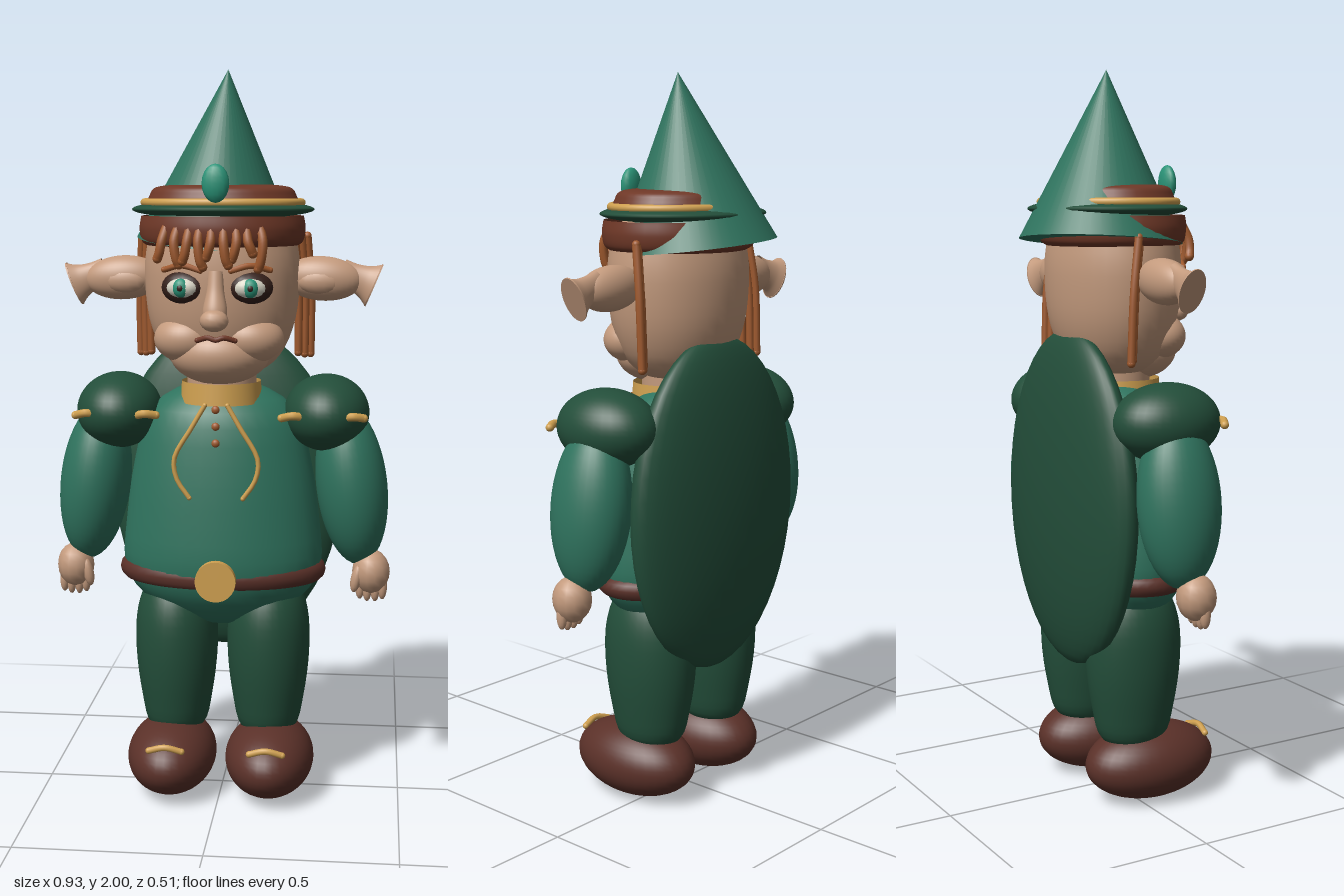
import * as THREE from 'three';

const mat = (name, color, double) => {
  const m = new THREE.MeshStandardMaterial({ color });
  m.name = name;
  if (double) m.side = THREE.DoubleSide;
  return m;
};
const green = mat('tunicGreen', 0x2f735e);
const dark = mat('forestGreen', 0x234e3a);
const skin = mat('skin', 0xc39a7d, true);
const leather = mat('leather', 0x5b3129);
const band = mat('hatBrown', 0x6f3827, true);
const hair = mat('hair', 0xa05a2e);
const gold = mat('gold', 0xcfa050, true);
const teal = mat('teal', 0x2a9478);
const white = mat('eyeWhite', 0xd9d6c6);
const black = mat('darkBrown', 0x35201a);

const V = (a) => new THREE.Vector3(...a);

export function createModel() {
  const root = new THREE.Group();
  root.name = 'forestElf';

  const add = (name, geo, material, pos = [0, 0, 0], scale = [1, 1, 1], rot = [0, 0, 0]) => {
    const m = new THREE.Mesh(geo, material);
    m.name = name;
    m.position.set(...pos);
    m.scale.set(...scale);
    m.rotation.set(...rot);
    root.add(m);
    return m;
  };
  // Fine spheres for large parts, coarse ones for small parts
  const fineBall = new THREE.SphereGeometry(1, 36, 24);
  const smallBall = new THREE.SphereGeometry(1, 14, 10);
  const blob = (name, material, pos, radii, rot) =>
    add(name, Math.max(...radii) > 0.07 ? fineBall : smallBall, material, pos, radii, rot);
  // Smooth lathe through a few [radius, y] points, bottom to top
  const lathe = (name, material, pts, pos, scale, rot) => {
    const curve = new THREE.SplineCurve(pts.map((p) => new THREE.Vector2(...p)));
    const prof = curve.getPoints(24).map((p) => new THREE.Vector2(Math.max(p.x, 0), p.y));
    return add(name, new THREE.LatheGeometry(prof, 36), material, pos, scale, rot);
  };
  // Round-ended tube through points
  const tube = (name, material, pts, r) => {
    const v = pts.map(V);
    add(name, new THREE.TubeGeometry(new THREE.CatmullRomCurve3(v), 14, r, 8), material);
    for (const p of [v[0], v[v.length - 1]]) blob(name + 'End', material, p.toArray(), [r, r, r]);
  };
  // Flat-lying ring
  const ring = (name, material, r, t, pos, zs) =>
    add(name, new THREE.TorusGeometry(r, t, 12, 48), material, pos, [1, zs, 1], [Math.PI / 2, 0, 0]);
  const both = (fn) => [1, -1].forEach(fn);

  // Body, collar and cape
  lathe('torso', green, [[0, 0.475], [0.12, 0.5], [0.225, 0.565], [0.275, 0.65], [0.27, 0.78],
    [0.245, 0.95], [0.2, 1.09], [0.09, 1.16], [0, 1.165]], [0, 0, 0], [1, 1, 0.65]);
  blob('cape', dark, [0, 0.845, -0.12], [0.325, 0.465, 0.088]);
  add('neck', new THREE.CylinderGeometry(0.095, 0.095, 0.2, 32), skin, [0, 1.18, 0.02]);
  add('collar', new THREE.CylinderGeometry(0.108, 0.112, 0.058, 40, 1, true), gold, [0, 1.142, 0.035]);
  ring('belt', leather, 0.258, 0.031, [0, 0.64, 0], 0.62);
  add('buckle', new THREE.CylinderGeometry(0.055, 0.055, 0.022, 32), gold, [0, 0.645, 0.195], [1, 1, 1], [Math.PI / 2, 0, 0]);
  for (const y of [1.11, 1.065, 1.02]) blob('button', hair, [0, y, 0.188], [0.011, 0.011, 0.008]);

  both((s) => {
    tube('lace', gold, [[s * 0.03, 1.12, 0.175], [s * 0.065, 1.06, 0.18], [s * 0.112, 0.975, 0.18],
      [s * 0.105, 0.92, 0.18], [s * 0.072, 0.87, 0.18]], 0.0065);

    // Legs and boots
    lathe('leg', dark, [[0, 0.15], [0.075, 0.18], [0.1, 0.27], [0.115, 0.4], [0.11, 0.52], [0.075, 0.6], [0, 0.62]],
      [s * 0.13, 0, 0], [1, 1, 1.18]);
    blob('boot', leather, [s * 0.138, 0.108, 0.05], [0.124, 0.105, 0.194]);
    tube('bootClasp', gold, [[s * 0.138 - 0.045, 0.166, 0.207], [s * 0.138, 0.178, 0.213], [s * 0.138 + 0.045, 0.166, 0.207]], 0.009);

    // Arms, shoulder puffs and hands
    blob('sleeve', green, [s * 0.358, 0.88, 0], [0.098, 0.225, 0.115], [0, 0, s * 0.12]);
    blob('shoulderPuff', dark, [s * 0.287, 1.082, 0.005], [0.117, 0.105, 0.152]);
    for (const x of [0.2, 0.36]) {
      tube('shoulderClasp', gold, [[s * x - 0.03, 1.08, 0.118], [s * x, 1.088, 0.132], [s * x + 0.03, 1.083, 0.118]], 0.011);
    }
    blob('hand', skin, [s * 0.415, 0.64, 0.018], [0.052, 0.062, 0.054]);
    [-0.03, -0.01, 0.012, 0.032].forEach((d, i) =>
      blob('finger', skin, [s * (0.415 + d), 0.598 - (i % 3 ? 0.006 : 0), 0.025], [0.013, 0.036, 0.015]));
    blob('thumb', skin, [s * 0.375, 0.625, 0.045], [0.015, 0.04, 0.017], [0, 0, s * -0.2]);

    // Trumpet-shaped ears
    blob('ear', skin, [s * 0.272, 1.447, 0.005], [0.108, 0.06, 0.05], [0, 0, s * -0.06]);
    blob('innerEar', skin, [s * 0.265, 1.44, 0.035], [0.062, 0.034, 0.024]);
    const tipTurn = [0, 0, s * -1.97];
    lathe('earTip', skin, [[0.035, 0], [0.036, 0.035], [0.045, 0.07], [0.061, 0.096]],
      [s * 0.322, 1.466, 0], [1, 1, 0.62], tipTurn);
    add('earTipCap', new THREE.CylinderGeometry(0.061, 0.061, 0.004, 36), skin, [s * 0.41, 1.429, 0], [1, 1, 0.62], tipTurn);

    // Eyes
    blob('eyeSocket', black, [s * 0.09, 1.43, 0.158], [0.06, 0.043, 0.034], [0, s * 0.25, 0]);
    blob('eyeWhite', white, [s * 0.09, 1.43, 0.172], [0.045, 0.029, 0.027], [0, s * 0.25, 0]);
    blob('iris', teal, [s * 0.091, 1.43, 0.187], [0.022, 0.025, 0.016]);
    blob('pupil', black, [s * 0.092, 1.43, 0.196], [0.01, 0.011, 0.009]);
    tube('eyebrow', hair, [[s * 0.04, 1.475, 0.182], [s * 0.09, 1.488, 0.172], [s * 0.14, 1.476, 0.15]], 0.008);
    blob('cheek', skin, [s * 0.085, 1.29, 0.1], [0.09, 0.065, 0.075]);

    // Long side locks
    [[0.205, -0.04, 1.24], [0.222, -0.055, 1.235], [0.238, -0.065, 1.235]].forEach(([x, z, y]) =>
      tube('sideLock', hair, [[s * (x - 0.01), 1.56, z + 0.02], [s * x, 1.42, z], [s * x, y, z - 0.008]], 0.011));
  });

  // Head and face
  lathe('head', skin, [[0, 1.18], [0.09, 1.19], [0.155, 1.235], [0.195, 1.32], [0.21, 1.42],
    [0.207, 1.52], [0.17, 1.61], [0, 1.645]], [0, 0, 0.01], [1, 1, 0.84]);
  blob('chin', skin, [0, 1.248, 0.08], [0.135, 0.083, 0.108]);
  lathe('noseBridge', skin, [[0.03, 0], [0.032, 0.03], [0.023, 0.08], [0.02, 0.13]], [0, 1.345, 0.205], [1, 1, 0.9], [-0.2, 0, 0]);
  blob('noseTip', skin, [0, 1.348, 0.222], [0.038, 0.029, 0.029]);
  tube('mouth', band, [[-0.05, 1.292, 0.172], [-0.02, 1.3, 0.183], [0, 1.294, 0.186], [0.02, 1.3, 0.183], [0.05, 1.292, 0.172]], 0.007);

  // Fringe strands with curled tips
  [[-0.145, 1.505], [-0.11, 1.49], [-0.075, 1.5], [-0.045, 1.485], [-0.012, 1.51], [0.022, 1.49],
    [0.055, 1.505], [0.085, 1.52], [0.122, 1.48]].forEach(([x, y], i) => {
    const z = 0.2 * Math.sqrt(1 - (x / 0.25) ** 2);
    const curl = i % 2 ? 0.012 : -0.012;
    tube('fringe', hair, [[x * 0.92, 1.59, z - 0.015], [x, 1.55, z], [x + curl / 2, y + 0.015, z], [x + curl, y, z - 0.005]], 0.0125);
  });

  // Hat: headband, brim, rim, crown band and leaning cone
  lathe('headband', band, [[0.19, 1.53], [0.217, 1.545], [0.225, 1.58], [0.22, 1.615]], [0, 0, 0.008], [1, 1, 0.86]);
  blob('brim', dark, [0, 1.632, -0.008], [0.248, 0.026, 0.205]);
  ring('brimCord', gold, 0.213, 0.011, [0, 1.65, -0.004], 0.82);
  lathe('crownBand', band, [[0.207, 1.645], [0.2, 1.667], [0.182, 1.69], [0.12, 1.698], [0.05, 1.7]], [0, 0, -0.004], [1, 1, 0.84]);
  const axis = V([0.07, 1, 0.079]).normalize();
  const cone = add('hatCone', new THREE.ConeGeometry(0.221, 0.457, 48), green);
  cone.quaternion.setFromUnitVectors(V([0, 1, 0]), axis);
  cone.position.set(0.015, 2, 0).addScaledVector(axis, -0.2285);
  blob('jewel', teal, [0, 1.7, 0.186], [0.036, 0.05, 0.02]);

  return root;
}
